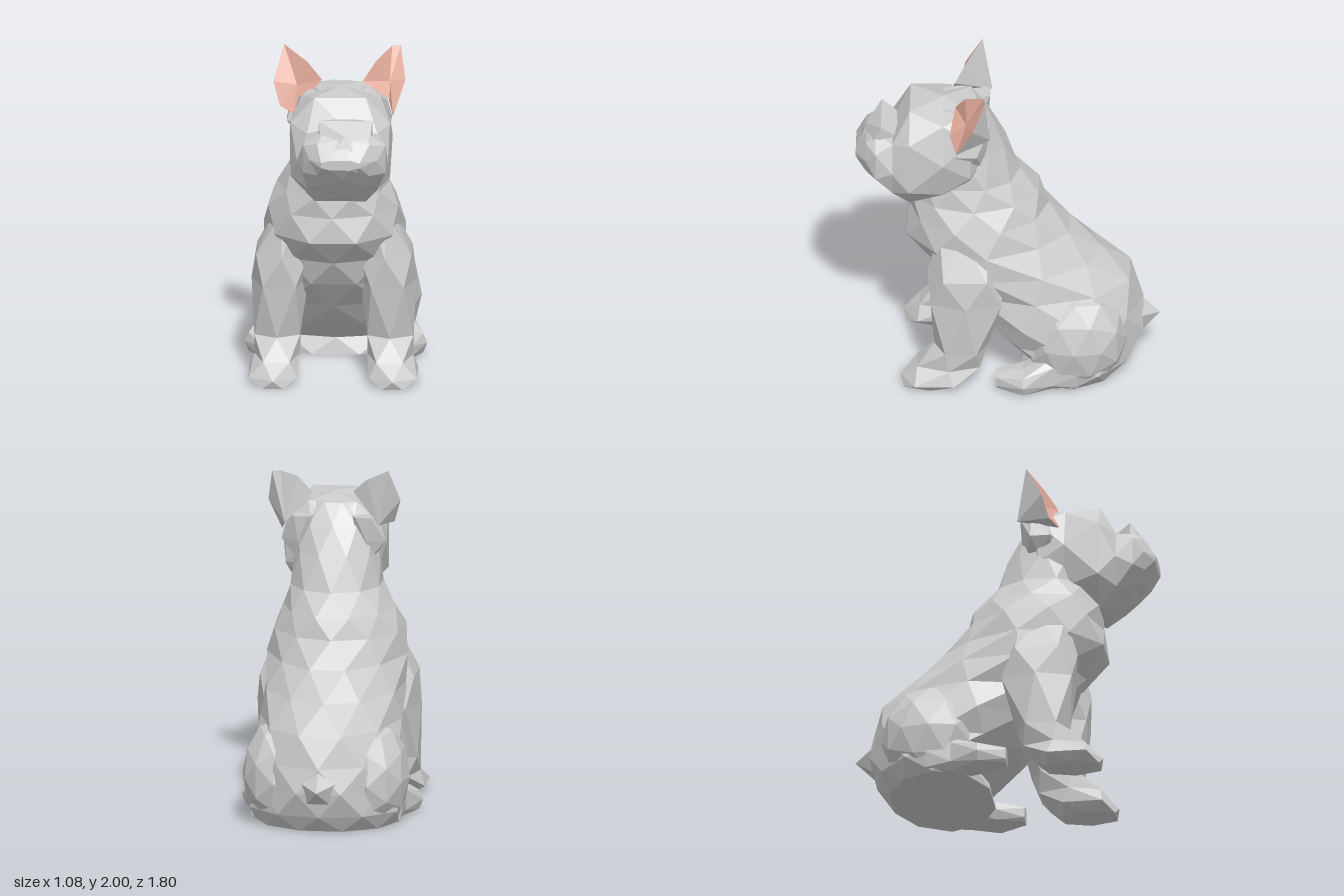
import * as THREE from 'three';

const fur = new THREE.MeshStandardMaterial({ color: 0xcccccc, flatShading: true });
const furThin = new THREE.MeshStandardMaterial({ color: 0xcccccc, flatShading: true, side: THREE.DoubleSide });
const pink = new THREE.MeshStandardMaterial({ color: 0xe0a898, flatShading: true, side: THREE.DoubleSide });

// Rounded ring filling the bounds [position, x0, x1, b0, b1]; axis is 'y' or 'z'.
// An optional taper narrows the half with the lower b.
function ring([pos, x0, x1, b0, b1, taper = 0], axis, n, phase, power) {
  const soft = (v) => Math.sign(v) * Math.pow(Math.abs(v), power);
  const raw = [];
  for (let i = 0; i < n; i++) {
    const a = ((i + phase) / n) * Math.PI * 2;
    raw.push([soft(Math.cos(a)), soft(Math.sin(a))]);
  }
  const mx = Math.max(...raw.map((p) => Math.abs(p[0])));
  const mb = Math.max(...raw.map((p) => Math.abs(p[1])));
  return raw.map(([u, v]) => {
    const narrow = 1 + taper * Math.min(0, v);
    const x = (x0 + x1) / 2 + (u / mx) * narrow * (x1 - x0) / 2;
    const b = (b0 + b1) / 2 + (v / mb) * (b1 - b0) / 2;
    return axis === 'y' ? [x, pos, b] : [x, b, pos];
  });
}

// Closed faceted skin over a stack of rings, each turned half a step
function loft(name, sections, axis, n, power) {
  const rings = sections.map((s, i) => ring(s, axis, n, i * 0.5, power));
  const index = [];
  const add = (a, b, c) => (axis === 'y' ? index.push(a, c, b) : index.push(a, b, c));
  for (let i = 0; i < rings.length - 1; i++) {
    for (let j = 0; j < n; j++) {
      const k = (j + 1) % n;
      const a = i * n, b = a + n;
      add(a + j, a + k, b + j);
      add(a + k, b + k, b + j);
    }
  }
  const last = (rings.length - 1) * n;
  for (let j = 1; j < n - 1; j++) {
    add(0, j + 1, j);
    add(last, last + j, last + j + 1);
  }
  const g = new THREE.BufferGeometry();
  g.setAttribute('position', new THREE.Float32BufferAttribute(rings.flat(2), 3));
  g.setIndex(index);
  const flat = g.toNonIndexed();
  flat.computeVertexNormals();
  const mesh = new THREE.Mesh(flat, fur);
  mesh.name = name;
  return mesh;
}

// Fan of triangles from a centre point to a closed outline
function fan(name, centre, outline, material) {
  const pos = [];
  outline.forEach((p, i) => pos.push(...centre, ...p, ...outline[(i + 1) % outline.length]));
  const g = new THREE.BufferGeometry();
  g.setAttribute('position', new THREE.Float32BufferAttribute(pos, 3));
  g.computeVertexNormals();
  const mesh = new THREE.Mesh(g, material);
  mesh.name = name;
  return mesh;
}

function ear(name, outline, inner, back) {
  const group = new THREE.Group();
  group.name = name;
  group.add(fan('innerEar', inner, outline, pink));
  group.add(fan('outerEar', back, [...outline].reverse(), furThin));
  return group;
}

export function createModel() {
  const model = new THREE.Group();

  // Torso and neck, from the seat upwards
  model.add(loft('body', [
    [0, -0.43, 0.43, -0.68, -0.08, 0.1],
    [0.1, -0.46, 0.46, -0.77, -0.1, 0.15],
    [0.25, -0.46, 0.46, -0.8, 0.08, 0.12],
    [0.4, -0.45, 0.45, -0.8, 0.24, 0.1],
    [0.58, -0.42, 0.42, -0.72, 0.38, 0.1],
    [0.74, -0.42, 0.42, -0.56, 0.48, 0.28],
    [0.9, -0.42, 0.42, -0.36, 0.6, 0.25],
    [1.05, -0.39, 0.38, -0.24, 0.59, 0.15],
    [1.17, -0.34, 0.33, -0.18, 0.57, 0.1],
    [1.3, -0.25, 0.28, -0.07, 0.54],
    [1.5, -0.24, 0.27, 0.02, 0.5],
    [1.67, -0.2, 0.25, 0.1, 0.46],
    [1.79, -0.12, 0.19, 0.19, 0.42],
  ], 'y', 10, 0.95));

  // Head, from the back of the skull to the muzzle, set slightly to its left
  model.add(loft('head', [
    [0.12, -0.13, 0.18, 1.42, 1.68],
    [0.22, -0.24, 0.32, 1.29, 1.79],
    [0.38, -0.26, 0.35, 1.2, 1.82],
    [0.58, -0.25, 0.34, 1.16, 1.8],
    [0.68, -0.21, 0.33, 1.22, 1.66],
    [0.78, -0.17, 0.32, 1.32, 1.65],
    [0.84, -0.13, 0.27, 1.37, 1.62],
    [0.9, -0.06, 0.17, 1.45, 1.51],
  ], 'z', 8, 0.75));

  // Nose ridge on top of the muzzle
  model.add(loft('noseRidge', [
    [0.6, -0.02, 0.18, 1.5, 1.68],
    [0.75, -0.08, 0.24, 1.5, 1.71],
    [0.84, -0.06, 0.22, 1.45, 1.64],
    [0.89, -0.02, 0.15, 1.44, 1.51],
  ], 'z', 4, 1));

  // Ears
  model.add(ear('rightEar', [
    [-0.3, 2.0, 0.16], [-0.36, 1.8, 0.26], [-0.32, 1.66, 0.3],
    [-0.24, 1.63, 0.35], [-0.07, 1.83, 0.32], [-0.16, 1.92, 0.25],
  ], [-0.22, 1.78, 0.26], [-0.25, 1.68, 0.1]));
  model.add(ear('leftEar', [
    [0.34, 1.99, 0.14], [0.25, 1.93, 0.25], [0.17, 1.82, 0.31],
    [0.33, 1.72, 0.34], [0.35, 1.6, 0.3], [0.42, 1.8, 0.2], [0.39, 1.99, 0.13],
  ], [0.33, 1.8, 0.24], [0.31, 1.68, 0.1]));

  for (const [side, s] of [['left', 1], ['right', -1]]) {
    const mirror = (rows) => rows.map(([p, x0, x1, b0, b1]) =>
      (s > 0 ? [p, x0, x1, b0, b1] : [p, -x1, -x0, b0, b1]));

    // Cheek fold carrying the ear
    const fold = loft(side + 'EarBase', mirror([
      [1.47, 0.17, 0.25, 0.16, 0.3],
      [1.57, 0.1, 0.31, 0.12, 0.36],
      [1.72, 0.1, 0.27, 0.11, 0.27],
    ]), 'y', 6, 1);
    fold.position.x = 0.03;
    model.add(fold);

    // Front leg with its paw
    model.add(loft(side + 'FrontLeg', mirror([
      [0, 0.25, 0.46, 0.3, 0.61],
      [0.05, 0.21, 0.5, 0.22, 0.63],
      [0.14, 0.2, 0.47, 0.16, 0.53],
      [0.26, 0.2, 0.47, 0.11, 0.43],
      [0.58, 0.15, 0.49, 0.03, 0.45],
      [0.76, 0.15, 0.46, 0.02, 0.47],
      [1.02, 0.2, 0.34, 0.12, 0.4],
    ]), 'y', 6, 0.8));

    // Haunch, flattened where it meets the floor
    const g = new THREE.IcosahedronGeometry(1, 1);
    g.scale(0.22, 0.33, 0.31);
    g.translate(s * 0.28, 0.28, -0.4);
    const p = g.attributes.position;
    for (let i = 0; i < p.count; i++) p.setY(i, Math.max(0, p.getY(i)));
    g.computeVertexNormals();
    const haunch = new THREE.Mesh(g, fur);
    haunch.name = side + 'Haunch';
    model.add(haunch);

    // Hind paw
    model.add(loft(side + 'HindPaw', mirror([
      [-0.42, 0.26, 0.46, 0, 0.24],
      [-0.27, 0.25, 0.46, 0, 0.21],
      [-0.1, 0.3, 0.54, 0, 0.14],
      [0.06, 0.37, 0.46, 0.02, 0.12],
    ]), 'z', 8, 0.6));
  }

  // Short tail
  const tail = new THREE.Mesh(new THREE.ConeGeometry(0.22, 0.22, 5), fur);
  tail.name = 'tail';
  tail.rotation.x = -Math.PI / 2;
  tail.position.set(0, 0.28, -0.79);
  model.add(tail);

  return model;
}
